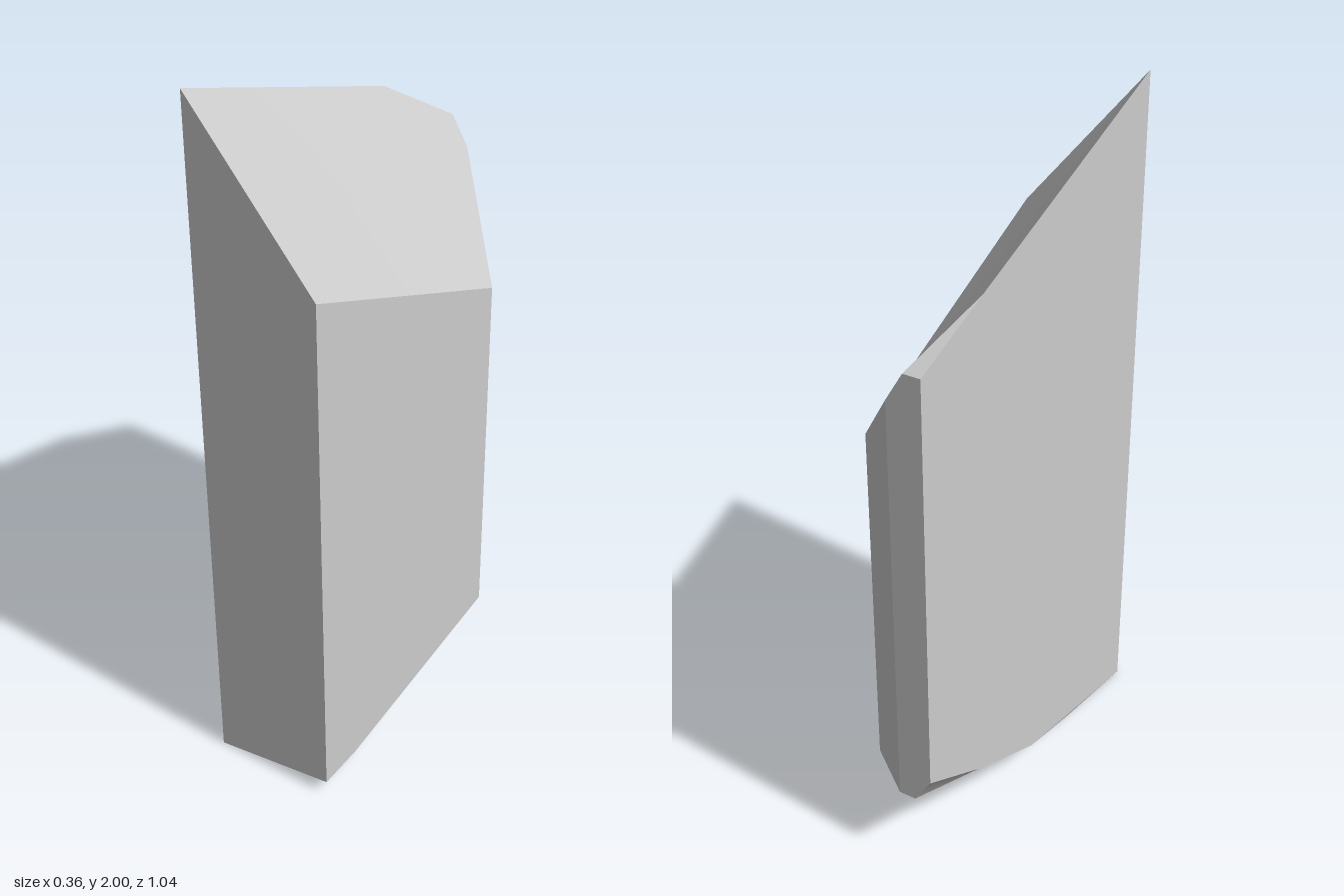
import * as THREE from 'three';
import { toCreasedNormals } from 'three/addons/utils/BufferGeometryUtils.js';

// Corner points: upper-case names lie on the top rim, lower-case on the bottom rim.
const P = {
  A: [-0.18, 2, 0.52], B: [0.18, 1.56, 0.52], C: [0.18, 1.22, -0.3], D: [-0.04, 1.5, -0.52],
  E: [-0.09, 1.585, -0.52], F: [-0.14, 1.585, -0.52], G: [-0.18, 1.72, -0.31],
  a: [-0.18, 0, 0.52], b: [0.18, 0.045, 0.52], k: [0.18, 0.045, 0.38], c: [0.18, 0.135, -0.3],
  d: [-0.04, 0.26, -0.52], e: [-0.09, 0.26, -0.52], f: [-0.14, 0.34, -0.52], g: [-0.18, 0.25, -0.31],
  h: [-0.18, 0.12, -0.04], i: [-0.18, 0.065, 0.22],
  r: [-0.175, 0.055, 0.2], s: [-0.13, 0.15, -0.2], // keel under the base
};

// Builds one part from polygons, each a string of corner names fanned from its first.
function facets(name, polygons, material) {
  const positions = [];
  for (const poly of polygons) {
    for (let n = 1; n < poly.length - 1; n++) {
      positions.push(...P[poly[0]], ...P[poly[n]], ...P[poly[n + 1]]);
    }
  }
  const geometry = new THREE.BufferGeometry();
  geometry.setAttribute('position', new THREE.Float32BufferAttribute(positions, 3));
  const mesh = new THREE.Mesh(toCreasedNormals(geometry, Math.PI / 6), material);
  mesh.name = name;
  return mesh;
}

export function createModel() {
  const group = new THREE.Group();
  group.name = 'facetedBlock';
  const stone = new THREE.MeshStandardMaterial({ color: 0xcccccc });
  stone.name = 'light grey';

  group.add(
    facets('slopedTop', ['ABCG', 'GCDE', 'GEF'], stone),
    facets('frontWall', ['abBA'], stone),
    facets('leftWall', ['BbkcC'], stone),
    facets('backChamfer', ['cdDC'], stone),
    facets('backWall', ['DdefFE'], stone),
    facets('rightWall', ['fgGF', 'AGghia'], stone),
    facets('underside', ['bark', 'krsc', 'csed', 'air', 'rihs', 'shg', 'sgfe'], stone),
  );
  return group;
}
